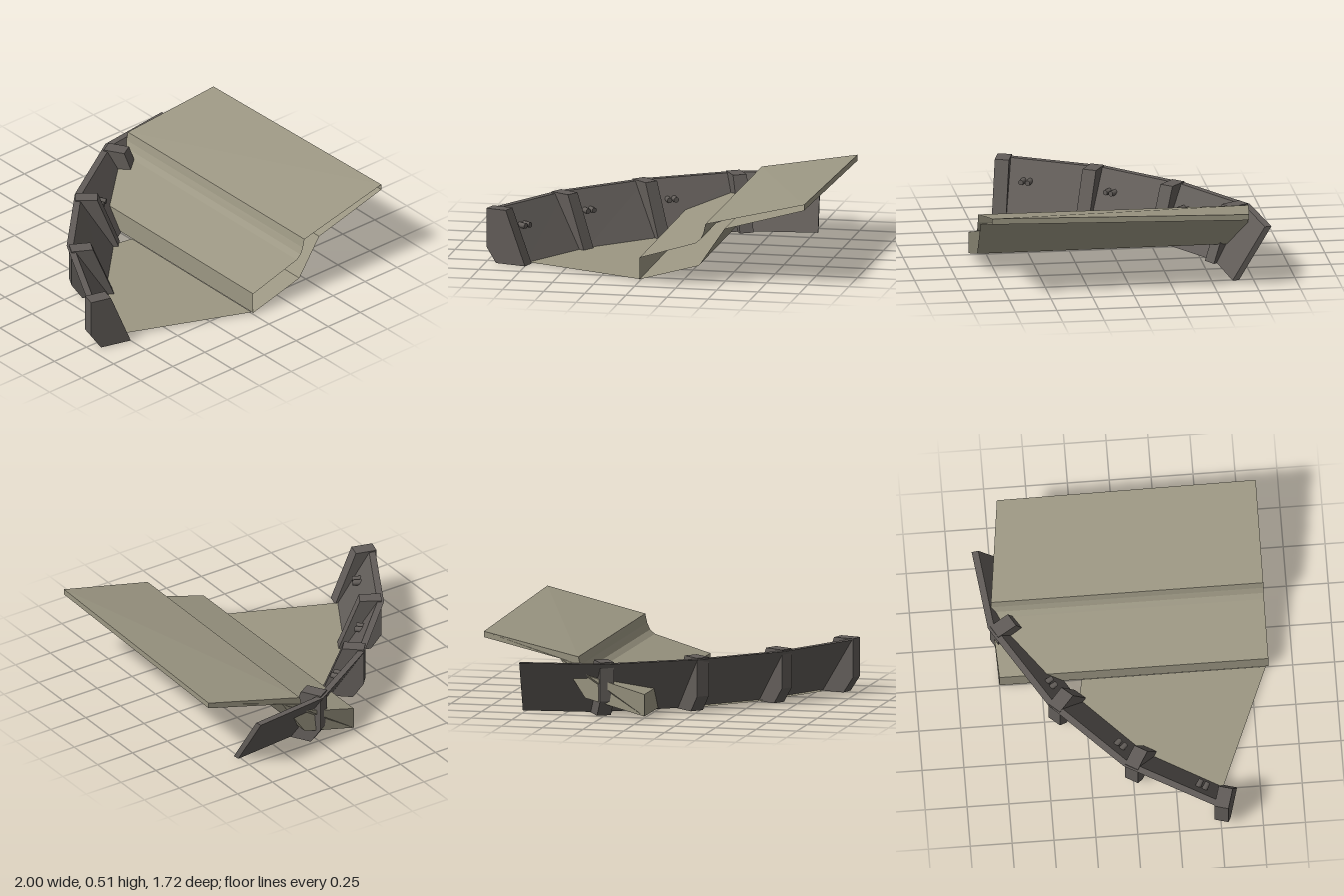
import * as THREE from 'three';

// Skin a list of closed rings of [x, y, z] points, flat shaded, with optional end caps
function loft(rings, capStart = true, capEnd = true) {
  const tris = [];
  const n = rings[0].length;
  for (let r = 0; r < rings.length - 1; r++) {
    for (let i = 0; i < n; i++) {
      const j = (i + 1) % n;
      const [a, b, c, d] = [rings[r][i], rings[r][j], rings[r + 1][j], rings[r + 1][i]];
      tris.push([a, b, c], [a, c, d]);
    }
  }
  // caps are triangulated in the plane of the side they show most of
  const cap = (ring, flip) => {
    let nx = 0, nz = 0;
    ring.forEach((p, i) => {
      const q = ring[(i + 1) % n];
      nx += p[1] * q[2] - p[2] * q[1];
      nz += p[0] * q[1] - p[1] * q[0];
    });
    const useX = Math.abs(nx) > Math.abs(nz);
    const flat = ring.map((p) => (useX ? new THREE.Vector2(p[1], p[2]) : new THREE.Vector2(p[0], p[1])));
    const ccw = THREE.ShapeUtils.area(flat) > 0;
    for (const [a, b, c] of THREE.ShapeUtils.triangulateShape(flat, [])) {
      const area = (flat[b].x - flat[a].x) * (flat[c].y - flat[a].y) - (flat[b].y - flat[a].y) * (flat[c].x - flat[a].x);
      const t = (area > 0) === ccw ? [a, b, c] : [a, c, b];
      if (flip) t.reverse();
      tris.push(t.map((k) => ring[k]));
    }
  };
  if (capStart) cap(rings[0], true);
  if (capEnd) cap(rings[rings.length - 1], false);

  // make every face point outwards
  let volume = 0;
  for (const [a, b, c] of tris) {
    volume += a[0] * (b[1] * c[2] - b[2] * c[1]) + a[1] * (b[2] * c[0] - b[0] * c[2]) + a[2] * (b[0] * c[1] - b[1] * c[0]);
  }
  if (volume < 0) tris.forEach((t) => t.reverse());
  const geo = new THREE.BufferGeometry();
  geo.setAttribute('position', new THREE.Float32BufferAttribute(tris.flat(2), 3));
  geo.computeVertexNormals();
  return geo;
}

export function createModel() {
  const group = new THREE.Group();
  const tan = new THREE.MeshStandardMaterial({ color: 0x9c9783, side: THREE.DoubleSide });
  tan.name = 'sand tan';
  const grey = new THREE.MeshStandardMaterial({ color: 0x625d59, side: THREE.DoubleSide });
  grey.name = 'dark grey';
  const add = (name, geo, mat) => {
    const mesh = new THREE.Mesh(geo, mat);
    mesh.name = name;
    group.add(mesh);
    return mesh;
  };

  // stepped ramp, open at its front end: [x, front y, back y, back z]
  const ramp = [
    [0, 0.015, 0.015, -0.75],
    [0.36, 0.115, 0.115, -0.765],
    [0.515, 0.345, 0.345, -0.755],
    [1, 0.48, 0.445, -0.69],
    [1, 0.515, 0.48, -0.69],
    [0.4, 0.37, 0.362, -0.77],
    [0.388, 0.315, 0.312, -0.77],
    [0.37, 0.275, 0.274, -0.77],
    [0.34, 0.25, 0.25, -0.77],
    [0, 0.147, 0.147, -0.75],
  ];
  add('ramp', loft([
    ramp.map(([x, y]) => [x, y, 0.855]),
    ramp.map(([x, , y, z]) => [x, y, z]),
  ], false, true), tan);

  // floor plate between ramp and wall
  const floorShape = new THREE.Shape([
    [0, 0.84], [-0.74, 0.53], [-0.79, 0.43], [-0.53, 0], [-0.24, -0.305], [0, -0.26],
  ].map(([x, z]) => new THREE.Vector2(x, -z)));
  const floor = add('floor', new THREE.ShapeGeometry(floorShape), tan);
  floor.rotation.x = -Math.PI / 2;
  floor.position.y = 0.013;

  // wall joints: outer top corner and inward direction
  const joints = [
    { p: [-0.985, 0.49], d: [0.96, 0.27] },
    { p: [-0.68, -0.06], d: [0.82, 0.57] },
    { p: [-0.26, -0.48], d: [0.66, 0.75] },
    { p: [0.25, -0.8], d: [0.36, 0.93] },
    { p: [0.74, -0.86], d: [0.14, 0.99] },
  ];
  const section = ({ p, d }, profile) => profile.map(([u, y]) => [p[0] + d[0] * u, y, p[1] + d[1] * u]);

  // leaning wall panels
  const panel = [[0, 0.325], [0.2, 0.008], [0.24, 0.008], [0.04, 0.325]];
  for (let i = 0; i < 4; i++) {
    add('wallPanel' + (i + 1), loft([section(joints[i], panel), section(joints[i + 1], panel)]), grey);
  }

  // buttresses: centre of outer edge and inward direction
  const buttress = [[0, 0.333], [0, 0.1], [0.065, 0.005], [0.26, 0.005], [0.13, 0.333]];
  [
    [-0.987, 0.5, 0.96, 0.27],
    [-0.69, -0.015, 0.87, 0.5],
    [-0.283, -0.445, 0.75, 0.66],
    [0.225, -0.765, 0.51, 0.86],
  ].forEach(([x, z, dx, dz], i) => {
    const ends = [-0.043, 0.043].map((w) => section({ p: [x - dz * w, z + dx * w], d: [dx, dz] }, buttress));
    add('buttress' + (i + 1), loft(ends), grey);
  });

  // pairs of round knobs on the inner wall: centre and inward direction
  [
    [-0.797, 0.4, 0.87, 0.49],
    [-0.505, -0.07, 0.71, 0.71],
    [-0.083, -0.453, 0.53, 0.85],
  ].forEach(([x, z, dx, dz], i) => {
    const pair = new THREE.Group();
    pair.name = 'knobPair' + (i + 1);
    for (const side of [-0.021, 0.021]) {
      const knob = new THREE.Mesh(new THREE.CylinderGeometry(0.016, 0.019, 0.06, 12), grey);
      knob.name = 'knob';
      knob.rotation.x = Math.PI / 2;
      knob.position.x = side;
      pair.add(knob);
    }
    pair.position.set(x, 0.21, z);
    pair.rotation.y = Math.atan2(dx, dz);
    group.add(pair);
  });

  return group;
}
